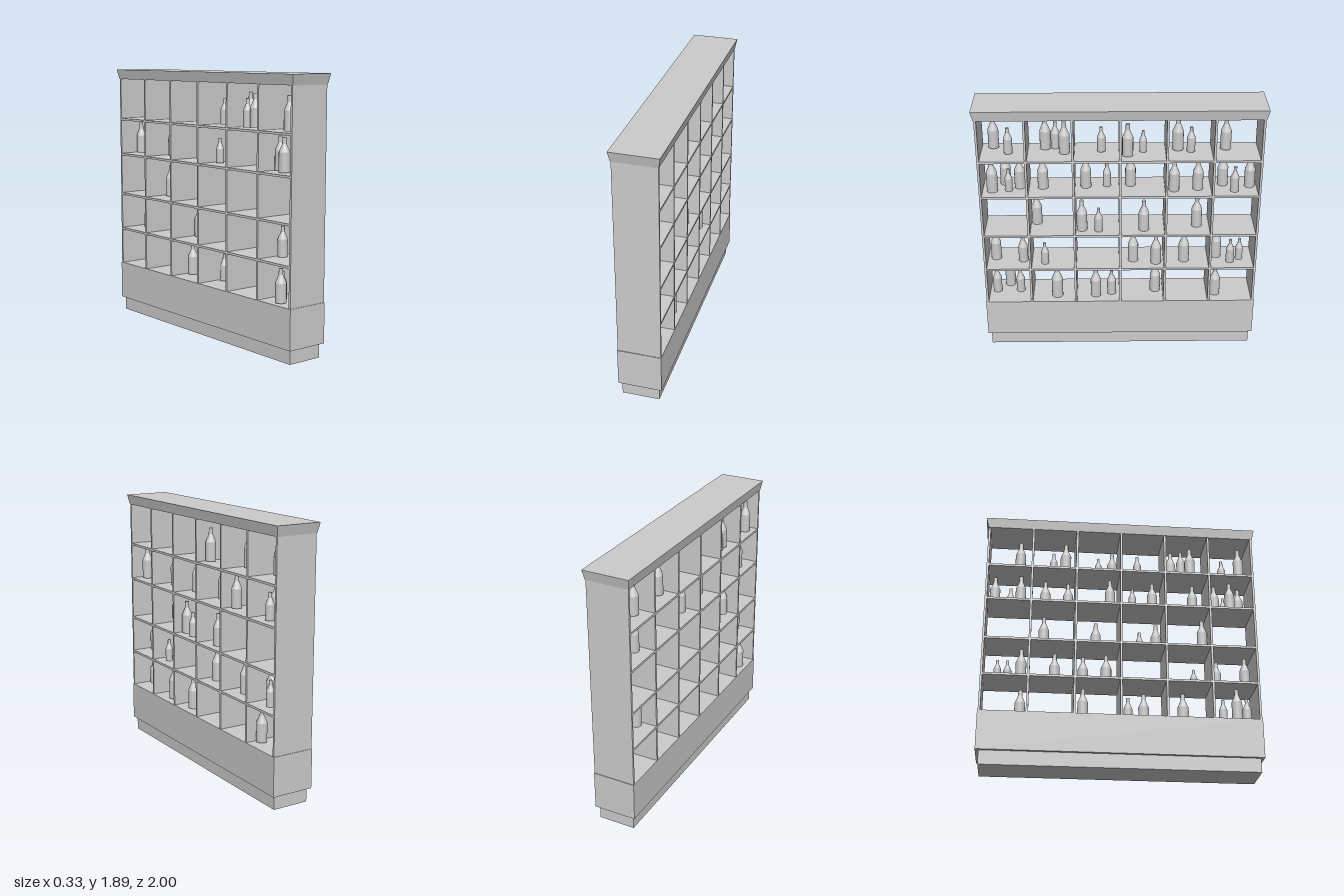
import * as THREE from 'three';

export function createModel() {
  const group = new THREE.Group();
  group.name = 'bottleShelf';
  const mat = new THREE.MeshStandardMaterial({ color: 0xcccccc });

  const add = (name, geo, x, y, z) => {
    const mesh = new THREE.Mesh(geo, mat);
    mesh.name = name;
    mesh.position.set(x, y, z);
    group.add(mesh);
    return mesh;
  };
  // box given by its width, depth and bottom/top heights
  const slab = (name, w, d, y0, y1, z = 0) =>
    add(name, new THREE.BoxGeometry(w, y1 - y0, d), 0, (y0 + y1) / 2, z);

  // plinth and solid base
  slab('plinth', 0.266, 1.924, 0, 0.1);
  slab('base', 0.31, 1.97, 0.1, 0.38);

  // flared cornice: bottom corners pulled inwards
  const cornice = slab('cornice', 0.334, 2, 1.823, 1.895);
  const p = cornice.geometry.attributes.position;
  for (let i = 0; i < p.count; i++) {
    if (p.getY(i) < 0) {
      p.setX(i, Math.sign(p.getX(i)) * 0.154);
      p.setZ(i, Math.sign(p.getZ(i)) * 0.983);
    }
  }
  cornice.geometry.computeVertexNormals();

  // end panels and dividers, open on both long sides
  for (let i = 0; i <= 6; i++) {
    const z = 0.973 - i * (1.946 / 6);
    slab(i % 6 ? 'divider' : 'endPanel', 0.304, 0.016, 0.38, 1.823, z);
  }

  // shelves
  for (const top of [0.661, 0.938, 1.248, 1.521]) {
    slab('shelf', 0.304, 1.946, top - 0.016, top);
  }

  // bottle of unit height: body, shoulder, neck; doubled points keep edges crisp
  const profile = [
    [0, 0], [0.163, 0], [0.163, 0], [0.163, 0.58], [0.163, 0.58],
    [0.066, 0.81], [0.066, 0.81], [0.06, 1], [0.06, 1], [0, 1],
  ].map(([r, y]) => new THREE.Vector2(r, y));
  const bottleGeo = new THREE.LatheGeometry(profile, 16);

  // bottles per shelf: [z, x, height]
  const rows = [
    { y: 0.386, bottles: [
      [0.91, 0.0, 0.2], [0.82, -0.09, 0.232], [0.738, 0, 0.188], [0.462, 0.07, 0.25],
      [0.178, 0.07, 0.235], [0.063, 0.045, 0.195], [-0.26, 0.005, 0.232], [-0.7, 0.057, 0.232]] },
    { y: 0.664, bottles: [
      [0.905, -0.01, 0.23], [0.705, 0.028, 0.21], [0.545, 0.067, 0.166], [-0.095, 0.032, 0.233],
      [-0.26, 0.068, 0.23], [-0.465, 0.036, 0.233], [-0.703, -0.02, 0.233], [-0.8, 0.06, 0.18],
      [-0.87, 0.02, 0.165]] },
    { y: 0.943, bottles: [
      [0.598, -0.04, 0.23], [0.272, 0.065, 0.233], [0.153, 0.085, 0.178], [-0.17, 0.07, 0.23],
      [-0.55, 0.015, 0.232]] },
    { y: 1.252, bottles: [
      [0.895, 0.054, 0.243], [0.81, -0.06, 0.23], [0.78, 0.048, 0.165], [0.705, 0, 0.23],
      [0.542, 0.005, 0.23], [0.24, -0.005, 0.23], [0.092, -0.02, 0.175], [-0.075, -0.03, 0.228],
      [-0.379, 0.055, 0.23], [-0.547, 0.037, 0.23], [-0.727, -0.03, 0.23], [-0.802, 0.075, 0.185],
      [-0.915, 0, 0.23]] },
    { y: 1.527, bottles: [
      [0.882, -0.084, 0.23], [0.774, 0.016, 0.188], [0.52, -0.06, 0.233], [0.45, -0.07, 0.195],
      [0.385, 0.014, 0.235], [0.13, -0.01, 0.18], [-0.053, 0.06, 0.233], [-0.16, 0.0, 0.155],
      [-0.404, -0.033, 0.24], [-0.493, 0.0, 0.18], [-0.738, -0.04, 0.232]] },
  ];
  for (const { y, bottles } of rows) {
    for (const [z, x, h] of bottles) add('bottle', bottleGeo, x, y, z).scale.setScalar(h);
  }
  return group;
}
